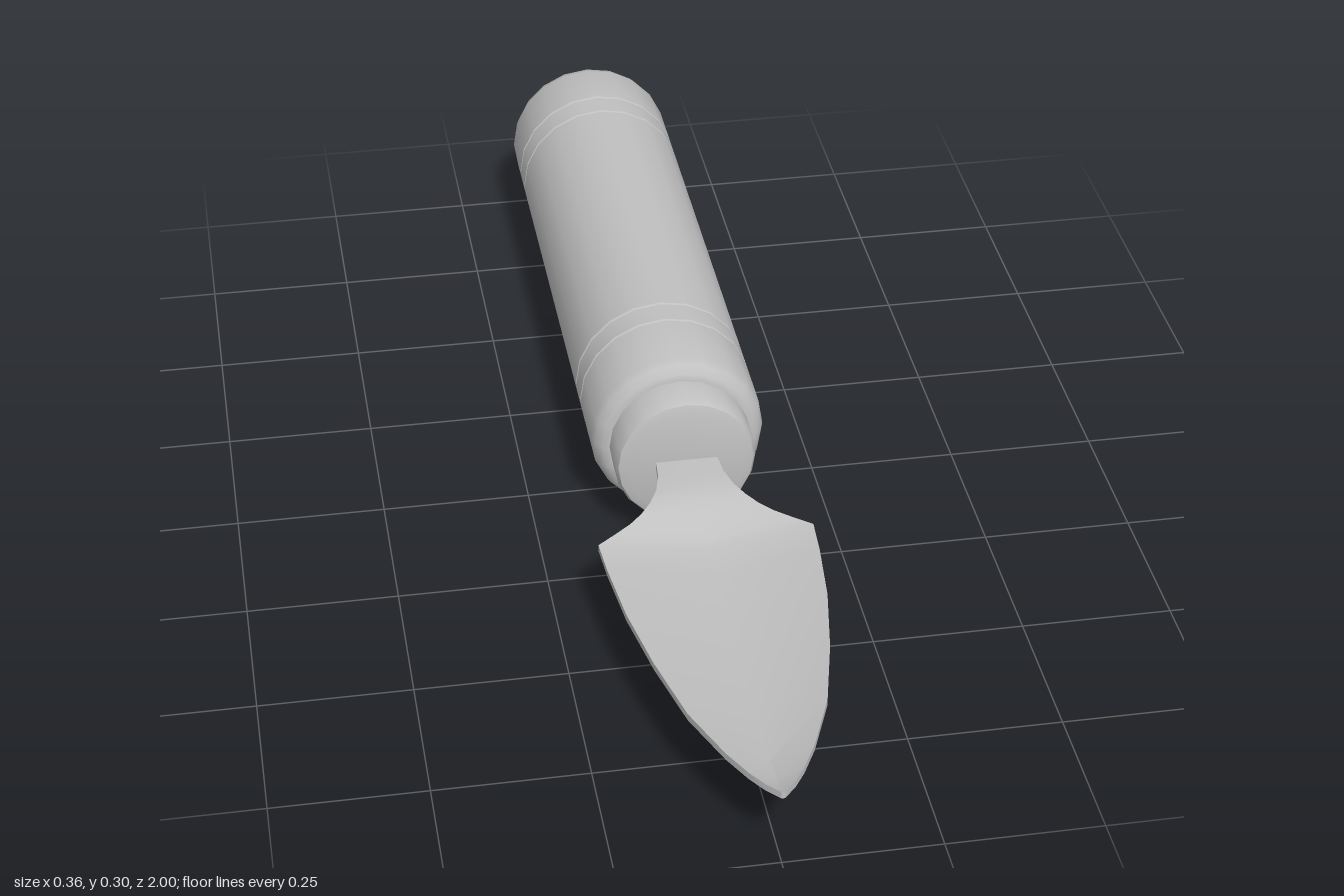
import * as THREE from 'three';
import { toCreasedNormals } from 'three/addons/utils/BufferGeometryUtils.js';

const AXIS_Y = 0.15; // height of the handle's axis

// Turned part: profile of [radius, z] from back to front, laid along z
function turned(name, profile, material) {
  const geo = new THREE.LatheGeometry(profile.map(([r, z]) => new THREE.Vector2(r, z)), 20);
  geo.rotateX(Math.PI / 2);
  geo.translate(0, AXIS_Y, 0);
  const mesh = new THREE.Mesh(toCreasedNormals(geo, 0.6), material);
  mesh.name = name;
  return mesh;
}

// Blade and tang: six-point sections (three on top, three below) joined along z
function bladeGeometry() {
  // z, half width, top height at the edge, top height at the middle
  const sections = [
    [0.13, 0.05, 0.158, 0.158], [0.2, 0.055, 0.158, 0.158], [0.24, 0.065, 0.158, 0.156],
    [0.27, 0.08, 0.156, 0.148], [0.29, 0.098, 0.15, 0.136], [0.31, 0.12, 0.146, 0.124],
    [0.33, 0.15, 0.142, 0.114], [0.35, 0.178, 0.14, 0.109], [0.42, 0.174, 0.14, 0.105],
    [0.54, 0.162, 0.14, 0.102], [0.67, 0.139, 0.14, 0.104], [0.8, 0.108, 0.14, 0.109],
    [0.9, 0.068, 0.14, 0.118], [0.95, 0.042, 0.14, 0.124], [0.98, 0.022, 0.14, 0.13],
    [1.0, 0.003, 0.14, 0.139],
  ];
  const t = 0.012;
  const pos = [];
  const index = [];
  for (const [z, w, edge, mid] of sections) {
    pos.push(-w, edge, z, 0, mid, z, w, edge, z, w, edge - t, z, 0, mid - t, z, -w, edge - t, z);
  }
  for (let s = 0; s < sections.length - 1; s++) {
    for (let k = 0; k < 6; k++) {
      const a = s * 6 + k, b = s * 6 + (k + 1) % 6;
      index.push(a, a + 6, b, b, a + 6, b + 6);
    }
  }
  // Close both ends
  const e = (sections.length - 1) * 6;
  for (const [p, q, r, u] of [[0, 1, 4, 5], [1, 2, 3, 4]]) {
    index.push(p, q, r, p, r, u);
    index.push(e + p, e + r, e + q, e + p, e + u, e + r);
  }
  const geo = new THREE.BufferGeometry();
  geo.setAttribute('position', new THREE.Float32BufferAttribute(pos, 3));
  geo.setIndex(index);
  return toCreasedNormals(geo, 0.6);
}

export function createModel() {
  const group = new THREE.Group();
  group.name = 'trowel';
  const grey = new THREE.MeshStandardMaterial({ color: 0xc0c0c0 });
  grey.name = 'grey';

  // Handle with a rounded butt, two pairs of fine grooves and a front shoulder
  const R = 0.148;
  const handle = [[0, -1], [0.12, -1], [0.132, -0.995], [0.142, -0.984], [R, -0.965]];
  for (const z of [-0.86, -0.805, -0.113, -0.06]) {
    handle.push([R, z - 0.003], [R - 0.003, z], [R, z + 0.003]);
  }
  handle.push([R, 0.06], [0.143, 0.075], [0.132, 0.087], [0.122, 0.09], [0, 0.09]);
  group.add(turned('handle', handle, grey));

  // Collar that holds the tang
  const collar = [[0.12, 0.08], [0.12, 0.146], [0.115, 0.155], [0.1, 0.16], [0, 0.16]];
  group.add(turned('collar', collar, grey));

  const blade = new THREE.Mesh(bladeGeometry(), grey);
  blade.name = 'blade';
  group.add(blade);

  return group;
}
